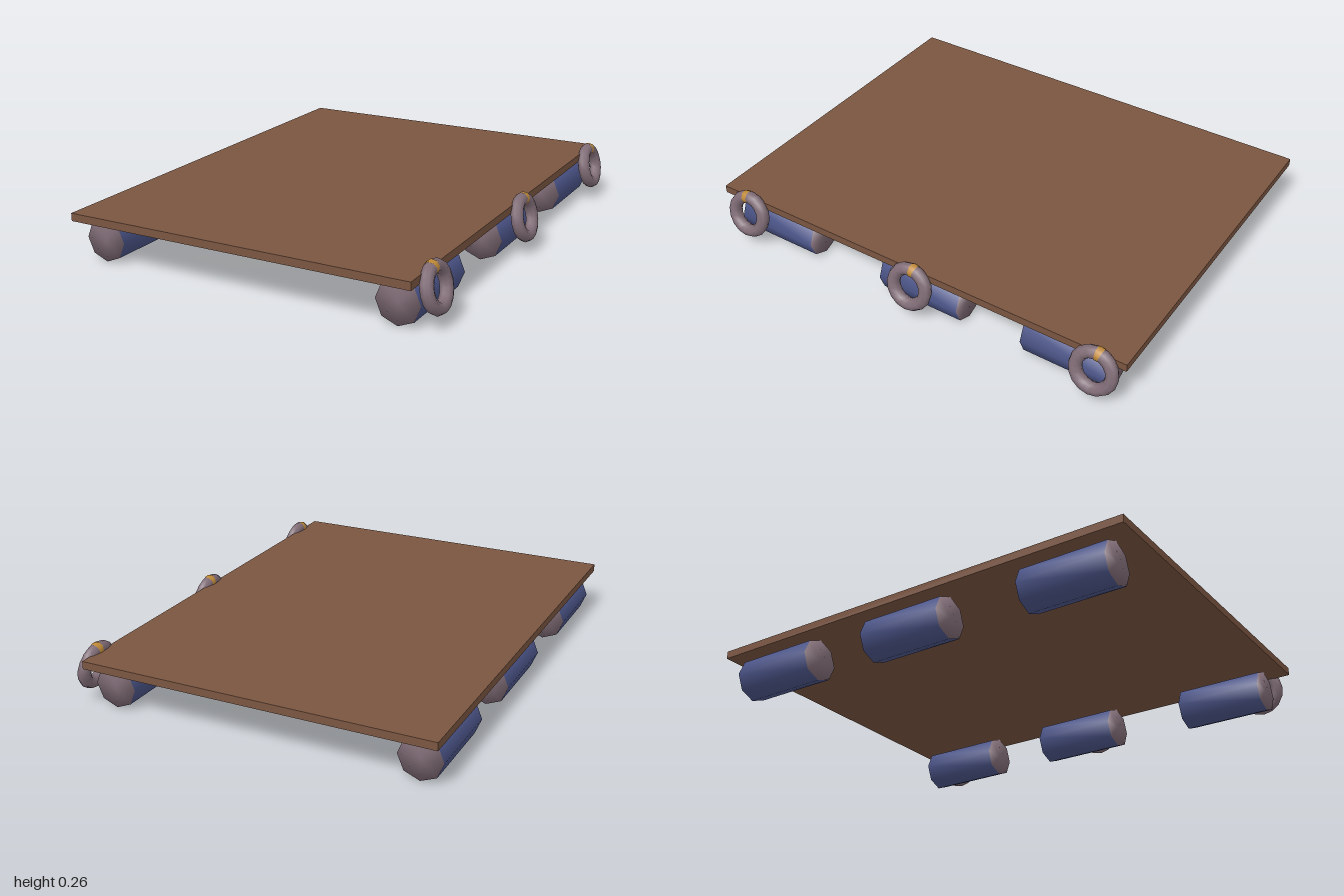
import * as THREE from 'three';
import { mergeVertices } from 'three/addons/utils/BufferGeometryUtils.js';

const material = (name, color) => {
  const m = new THREE.MeshStandardMaterial({ color });
  m.name = name;
  return m;
};

export function createModel() {
  const wood = material('brown wood', 0x7a5540);
  const blue = material('blue drum', 0x4b5488);
  const rubber = material('mauve grey', 0x806c76);
  const rope = material('orange rope', 0xc08a38);

  const dock = new THREE.Group();
  dock.name = 'floatingDock';
  const add = (parent, name, geometry, mat) => {
    const mesh = new THREE.Mesh(geometry, mat);
    mesh.name = name;
    parent.add(mesh);
    return mesh;
  };

  // Deck board
  add(dock, 'deck', new THREE.BoxGeometry(1.54, 0.034, 2), wood).position.set(-0.04, 0.205, 0);

  // Eight-sided drums, with normals shared between the side and the end caps
  const drumGeometry = new THREE.CylinderGeometry(0.094, 0.094, 0.385, 8);
  drumGeometry.deleteAttribute('uv');
  drumGeometry.deleteAttribute('normal');
  const drum = mergeVertices(drumGeometry);
  drum.computeVertexNormals();
  drum.rotateX(Math.PI / 2);
  for (const x of [-0.711, 0.637]) {
    for (const z of [0.722, -0.037, -0.726]) {
      add(dock, 'floatDrum', drum, [blue, rubber, rubber]).position.set(x, 0.094, z);
    }
  }

  // Leaning tyre fenders, each with a rope band round the top
  const tyre = new THREE.TorusGeometry(0.079, 0.028, 8, 16).rotateY(Math.PI / 2);
  const bandArc = 0.26;
  const band = new THREE.TorusGeometry(0.079, 0.0295, 8, 1, bandArc);
  band.rotateZ(Math.PI / 2 - bandArc / 2).rotateY(Math.PI / 2);
  for (const [z, turn] of [[0.845, 0.15], [-0.022, -0.15], [-0.878, -0.15]]) {
    const fender = new THREE.Group();
    fender.name = 'tyreFender';
    fender.position.set(0.759, 0.153, z);
    fender.rotation.z = 0.23;
    add(fender, 'tyre', tyre, rubber);
    add(fender, 'ropeBand', band, rope).rotation.x = turn;
    dock.add(fender);
  }
  return dock;
}
